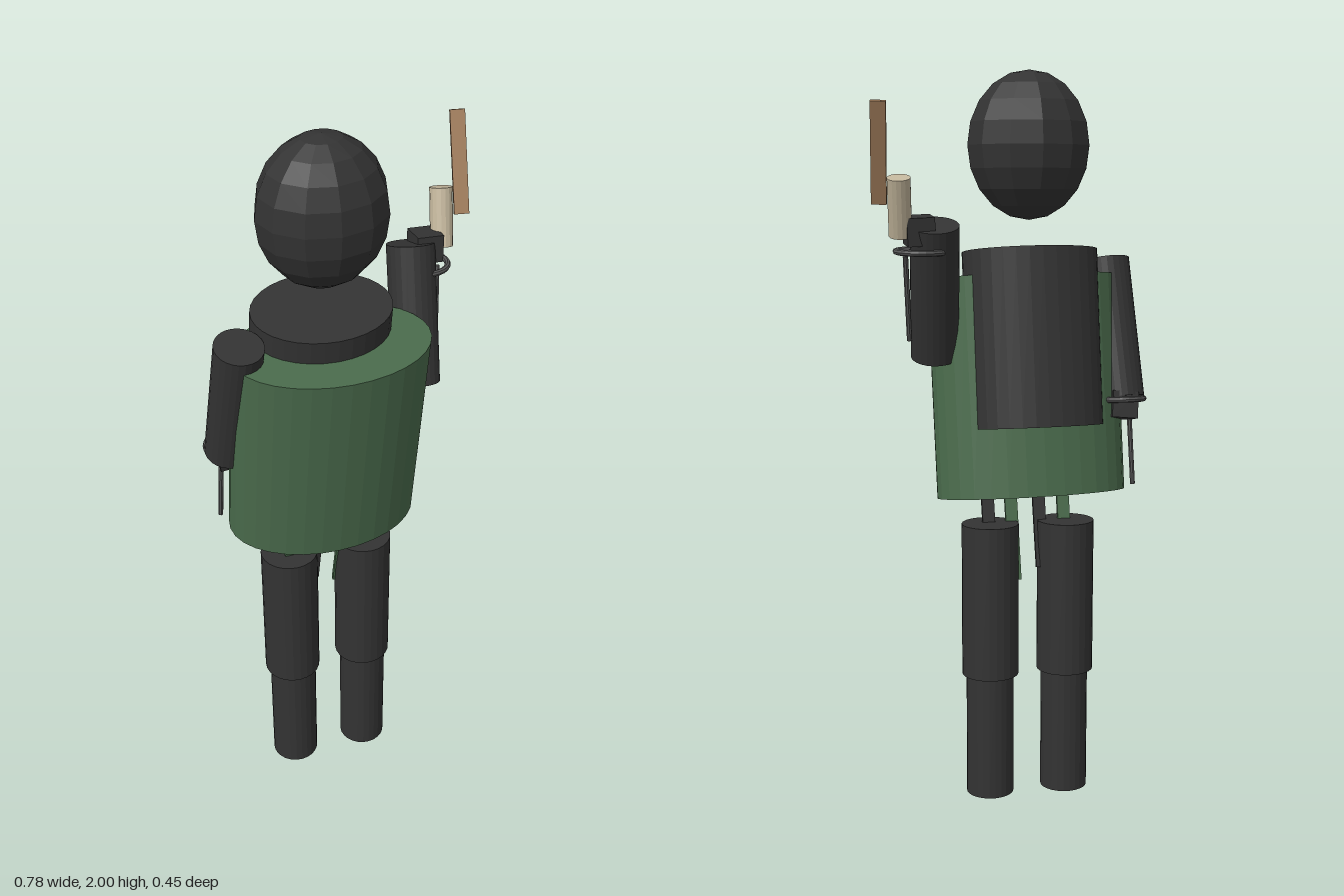
import * as THREE from 'three';

const flat = (name, color) => {
  const m = new THREE.MeshStandardMaterial({ color });
  m.name = name;
  m.flatShading = true;
  return m;
};

export function createModel() {
  const model = new THREE.Group();
  model.name = 'figure';
  const black = flat('black cloth', 0x333333);
  const green = flat('green cloth', 0x4a6b4c);
  const brown = flat('brown wood', 0xa07c5a);
  const beige = flat('beige wrap', 0xc2b59b);
  const grey = flat('grey metal', 0x555555);
  const up = new THREE.Vector3(0, 1, 0);

  const add = (name, geometry, material, position) => {
    const mesh = new THREE.Mesh(geometry, material);
    mesh.name = name;
    mesh.position.set(...position);
    model.add(mesh);
    return mesh;
  };
  // Places a unit-length part so that its y axis runs from a to b
  const span = (name, geometry, material, a, b) => {
    const from = new THREE.Vector3(...a), to = new THREE.Vector3(...b);
    const dir = to.clone().sub(from);
    const mid = from.clone().add(to).multiplyScalar(0.5);
    const mesh = add(name, geometry, material, mid.toArray());
    mesh.scale.y = dir.length();
    mesh.quaternion.setFromUnitVectors(up, dir.normalize());
    return mesh;
  };
  // Elliptical cylinder between two points
  const tube = (name, material, a, b, rx, rz = rx, sides = 24) =>
    span(name, new THREE.CylinderGeometry(1, 1, 1, sides).scale(rx, 1, rz), material, a, b);

  // Head
  const head = add('head', new THREE.SphereGeometry(1, 12, 10), black, [-0.075, 1.804, 0.021]);
  head.scale.set(0.168, 0.196, 0.146);

  // Body with the vest panel standing out at the neck and back
  tube('torso', green, [-0.075, 0.868, -0.0175], [-0.067, 1.453, 0.0625], 0.262, 0.161, 32);
  tube('backVest', black, [-0.075, 1.06, -0.065], [-0.072, 1.527, 0], 0.184, 0.141, 32);

  // Legs
  for (const [side, x] of [['right', -0.183], ['left', 0.033]]) {
    tube(side + 'Thigh', black, [x, 0.35, 0.02], [x, 0.78, 0.02], 0.079);
    tube(side + 'Shin', black, [x, 0, 0.025], [x, 0.36, 0.025], 0.066);
  }

  // Straps hanging under the torso
  const straps = [[-0.183, 0.68, green], [-0.113, 0.65, black], [-0.033, 0.62, green], [0.033, 0.68, black]];
  for (const [x, bottom, material] of straps) {
    const zAt = (y) => 0.038 + (y - 0.78) * 0.24;
    span('strap', new THREE.BoxGeometry(0.035, 1, 0.01), material, [x, bottom, zAt(bottom)], [x, 0.9, zAt(0.9)]);
  }

  // Arms, each with a fist, a wrist ring and a hanging cord
  const arms = [
    {
      side: 'right', from: [-0.325, 1.125, -0.03], to: [-0.307, 1.497, 0.065],
      fist: [-0.318, 1.108, -0.055], ring: [-0.318, 1.125, -0.05], ringRadius: 0.062,
      cord: [[-0.35, 0.89, -0.065], [-0.34, 1.12, -0.05]], tilt: 0.2,
    },
    {
      side: 'left', from: [0.188, 1.25, 0.003], to: [0.209, 1.598, -0.115],
      fist: [0.25, 1.585, -0.115], ring: [0.245, 1.532, -0.112], ringRadius: 0.064,
      cord: [[0.268, 1.3, -0.065], [0.285, 1.52, -0.113]], tilt: -0.1,
    },
  ];
  for (const arm of arms) {
    tube(arm.side + 'Arm', black, arm.from, arm.to, 0.064);
    const fist = add(arm.side + 'Hand', new THREE.BoxGeometry(0.072, 0.072, 0.076), black, arm.fist);
    fist.rotation.set(arm.tilt, 0, arm.tilt / 2);
    const ring = add(arm.side + 'WristRing', new THREE.TorusGeometry(arm.ringRadius, 0.008, 8, 24), grey, arm.ring);
    ring.rotation.set(Math.PI / 2 + arm.tilt / 2, 0, 0);
    tube(arm.side + 'Cord', grey, ...arm.cord, 0.007, 0.007, 8);
  }

  // Raised tool: wrapped grip and thin wooden blade
  tube('grip', beige, [0.298, 1.572, -0.118], [0.309, 1.717, -0.165], 0.03, 0.03, 16);
  span('blade', new THREE.BoxGeometry(0.039, 1, 0.012).rotateY(-0.26), brown,
    [0.353, 1.652, -0.125], [0.366, 1.9, -0.214]);

  return model;
}
